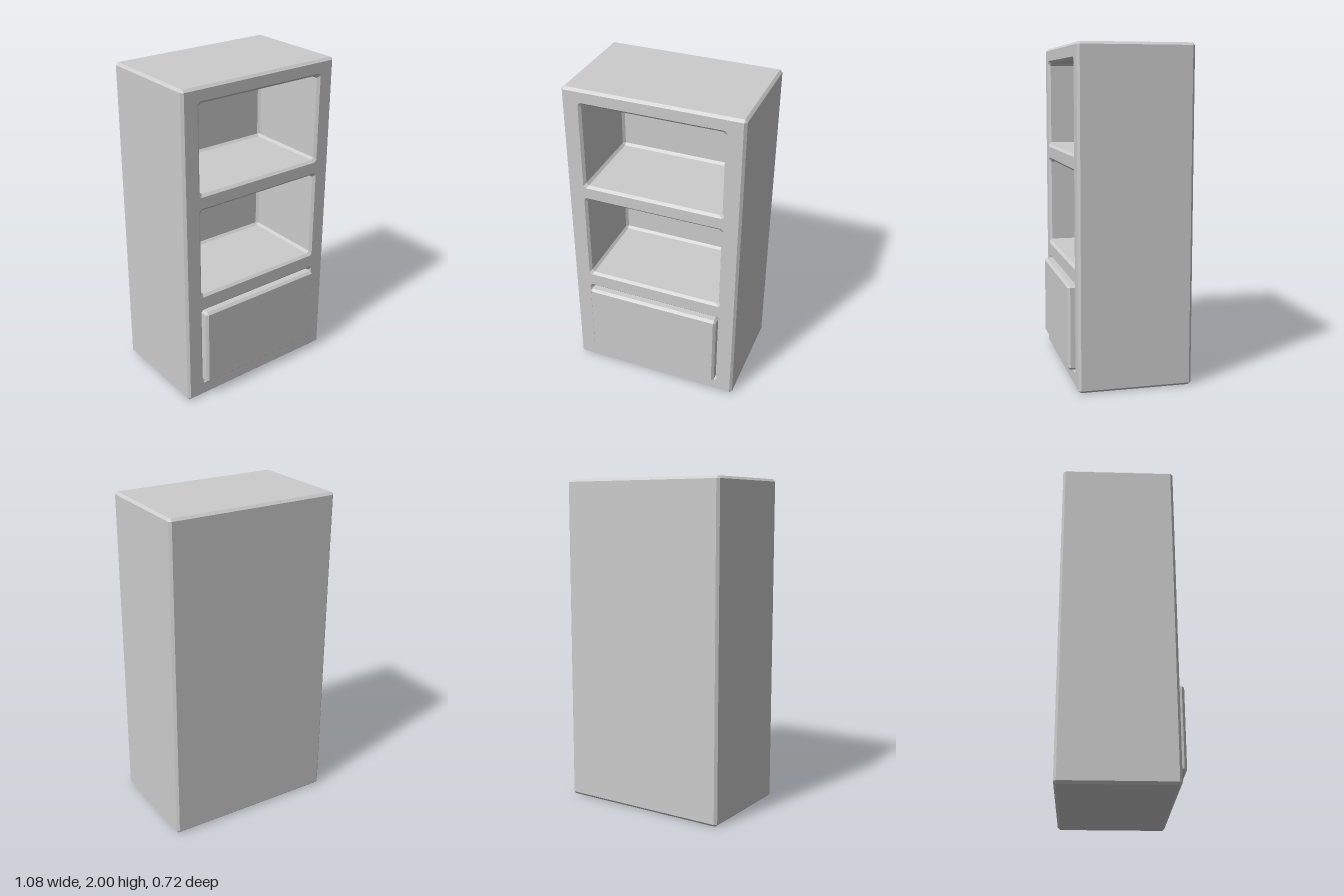
import * as THREE from 'three';

const material = new THREE.MeshStandardMaterial({ color: 0xcccccc, flatShading: true });
const BEVEL = 0.015;
const FRONT = 0.32, BACK = -0.36, SHELF_BACK = -0.22;

// Counter-clockwise rectangle with its four corners cut off
function ring(halfWidth, bottom, top, z, cut) {
  const w = halfWidth, c = cut;
  return [
    [-w + c, bottom], [w - c, bottom], [w, bottom + c], [w, top - c],
    [w - c, top], [-w + c, top], [-w, top - c], [-w, bottom + c],
  ].map(([x, y]) => new THREE.Vector3(x, y, z));
}

// Skin a series of rings, optionally closing the first or last one
function skin(rings, { capStart = false, capEnd = false }) {
  const positions = [];
  const area = new THREE.Triangle();
  const tri = (a, b, c) => {
    if (area.set(a, b, c).getArea() > 1e-9) {
      for (const p of [a, b, c]) positions.push(p.x, p.y, p.z);
    }
  };
  for (let k = 0; k < rings.length - 1; k++) {
    const a = rings[k], b = rings[k + 1];
    for (let i = 0; i < 8; i++) {
      const j = (i + 1) % 8;
      tri(a[i], a[j], b[j]);
      tri(a[i], b[j], b[i]);
    }
  }
  const first = rings[0], last = rings[rings.length - 1];
  for (let i = 1; i < 7; i++) {
    if (capStart) tri(first[0], first[i + 1], first[i]);
    if (capEnd) tri(last[0], last[i], last[i + 1]);
  }
  const geometry = new THREE.BufferGeometry();
  geometry.setAttribute('position', new THREE.Float32BufferAttribute(positions, 3));
  geometry.computeVertexNormals();
  return geometry;
}

// Recess or drawer: each step is [inset from the opening, z, corner cut]
function steppedPanel(opening, steps) {
  return skin(
    steps.map(([inset, z, cut]) =>
      ring(opening.halfWidth - inset, opening.bottom + inset, opening.top - inset, z, cut)),
    { capEnd: true },
  );
}

export function createModel() {
  const group = new THREE.Group();
  const add = (name, geometry) => {
    const mesh = new THREE.Mesh(geometry, material);
    mesh.name = name;
    group.add(mesh);
  };

  const openings = [
    { name: 'upperShelf', halfWidth: 0.44, bottom: 1.36, top: 1.92 },
    { name: 'middleShelf', halfWidth: 0.44, bottom: 0.71, top: 1.29 },
    { name: 'drawer', halfWidth: 0.44, bottom: 0.09, top: 0.63 },
  ];

  // Cabinet sides, top, bottom and back with chamfered edges
  const W = 0.54, B = BEVEL;
  const frontRing = ring(W - B, B, 2 - B, FRONT, 0);
  add('cabinetShell', skin([
    ring(W - B, B, 2 - B, BACK, 0),
    ring(W, 0, 2, BACK + B, B),
    ring(W, 0, 2, FRONT - B, B),
    frontRing,
  ], { capStart: true }));

  // Front frame with three openings
  const face = new THREE.Shape([0, 2, 4, 6].map((i) => new THREE.Vector2(frontRing[i].x, frontRing[i].y)));
  for (const o of openings) {
    const points = ring(o.halfWidth, o.bottom, o.top, 0, B).map((p) => new THREE.Vector2(p.x, p.y));
    face.holes.push(new THREE.Path(points));
  }
  add('frontFrame', new THREE.ShapeGeometry(face).translate(0, 0, FRONT));

  // Open shelf recesses and the drawer standing proud of the frame
  for (const o of openings) {
    const lip = [[0, FRONT, B], [B, FRONT - B, B]];
    const inner = o.name === 'drawer'
      ? [[B, 0.345, B], [2 * B, 0.36, 0]]
      : [[B, SHELF_BACK + B, B], [2 * B, SHELF_BACK, 0]];
    add(o.name, steppedPanel(o, [...lip, ...inner]));
  }
  return group;
}
